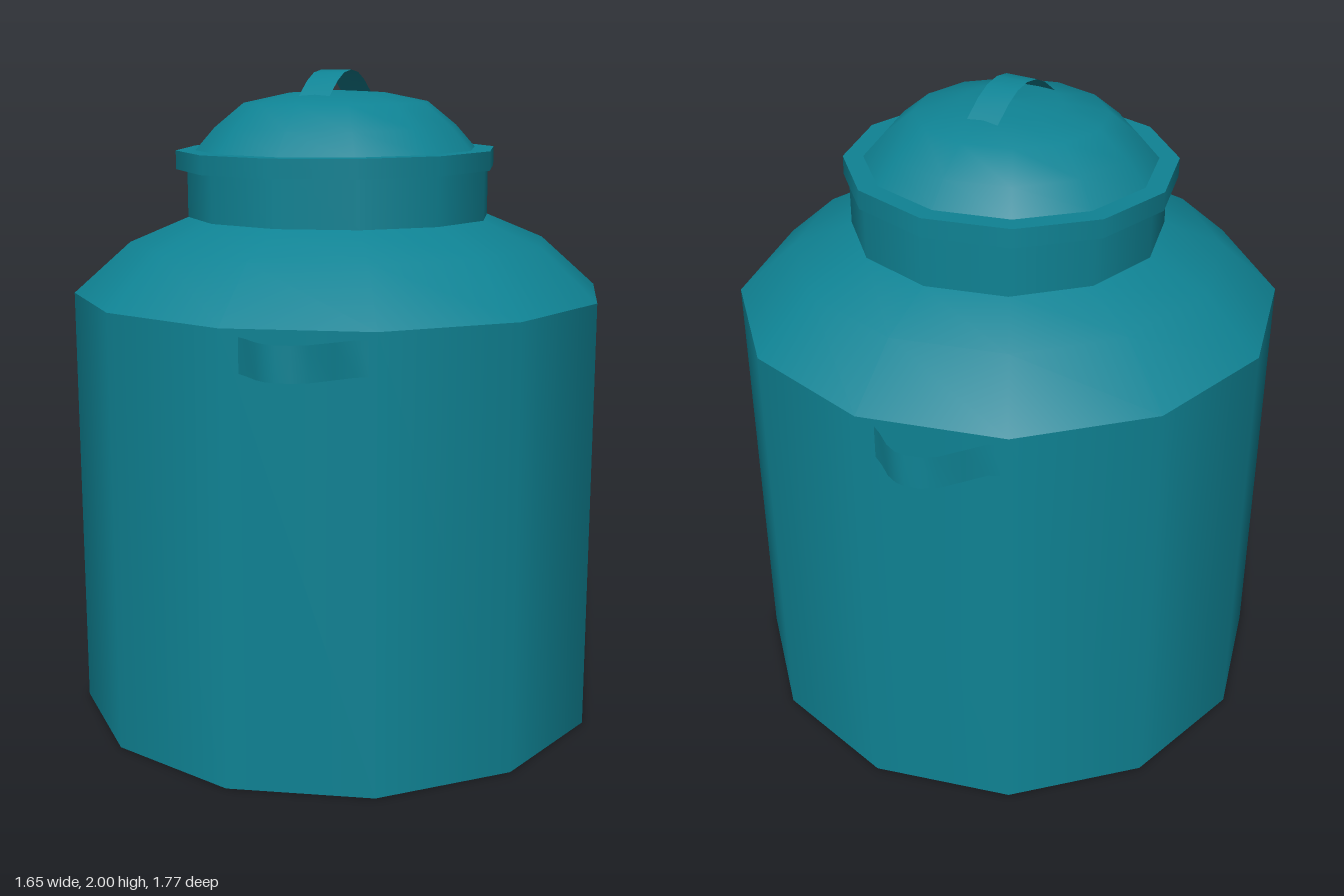
import * as THREE from 'three';

const SIDES = 12;

export function createModel() {
  const model = new THREE.Group();
  model.name = 'milkCan';
  const material = new THREE.MeshStandardMaterial({ color: 0x0f8394, side: THREE.DoubleSide });

  const add = (parent, name, geometry) => {
    const mesh = new THREE.Mesh(geometry, material);
    mesh.name = name;
    parent.add(mesh);
    return mesh;
  };

  // Each lathe is smooth in itself; separate lathes meet in sharp edges
  const turned = (parent, name, profile) =>
    add(parent, name, new THREE.LatheGeometry(profile.map(([r, y]) => new THREE.Vector2(r, y)), SIDES));

  // Thin band: a path of [a, b] points extruded to a width along the third axis
  const band = (path, width) => {
    const pos = [], index = [];
    path.forEach(([a, b], i) => {
      pos.push(a, -width / 2, b, a, width / 2, b);
      if (i) {
        const k = 2 * i;
        index.push(k - 2, k, k - 1, k - 1, k, k + 1);
      }
    });
    const g = new THREE.BufferGeometry();
    g.setAttribute('position', new THREE.Float32BufferAttribute(pos, 3));
    g.setIndex(index);
    g.computeVertexNormals();
    return g;
  };

  // Can body
  turned(model, 'base', [[0, 0], [0.825, 0]]);
  turned(model, 'body', [[0.825, 0], [0.825, 1.325]]);
  turned(model, 'shoulder', [[0.825, 1.325], [0.65, 1.48], [0.47, 1.555]]);
  turned(model, 'neck', [[0.47, 1.555], [0.47, 1.735]]);

  // Lid, sitting slightly askew on the neck
  const lid = new THREE.Group();
  lid.name = 'lid';
  lid.position.set(-0.005, 1.705, 0.01);
  lid.rotation.x = 0.015;
  model.add(lid);
  turned(lid, 'rimUnderside', [[0, 0], [0.495, 0]]);
  turned(lid, 'rimSide', [[0.495, 0], [0.495, 0.057]]);
  turned(lid, 'rimTop', [[0.495, 0.057], [0.435, 0.057]]);
  turned(lid, 'dome', [[0.435, 0.057], [0.375, 0.125], [0.285, 0.198], [0.15, 0.226], [0, 0.234]]);

  // Arched strap on the lid
  const strap = [[0.18, 0.21], [0.15, 0.232], [0.105, 0.264], [0.055, 0.287], [0, 0.295],
    [-0.055, 0.287], [-0.105, 0.264], [-0.15, 0.232], [-0.18, 0.21]];
  const lidHandle = add(lid, 'lidHandle', band(strap.map(([z, y]) => [z, -y]), 0.1));
  lidHandle.rotation.set(Math.PI / 2, 0, Math.PI / 2);

  // Strap handles at front and back, each bowed out from one facet
  const grip = [[0.05, 0.81], [0.085, 0.832], [0.13, 0.867], [0.165, 0.883], [0.195, 0.885],
    [0.235, 0.875], [0.275, 0.85], [0.32, 0.79], [0.36, 0.735], [0.405, 0.713]];
  [['frontHandle', 0], ['backHandle', Math.PI]].forEach(([name, turn]) => {
    const handle = add(model, name, band(grip, 0.1));
    handle.position.y = 1.253;
    handle.rotation.y = turn;
  });

  return model;
}
